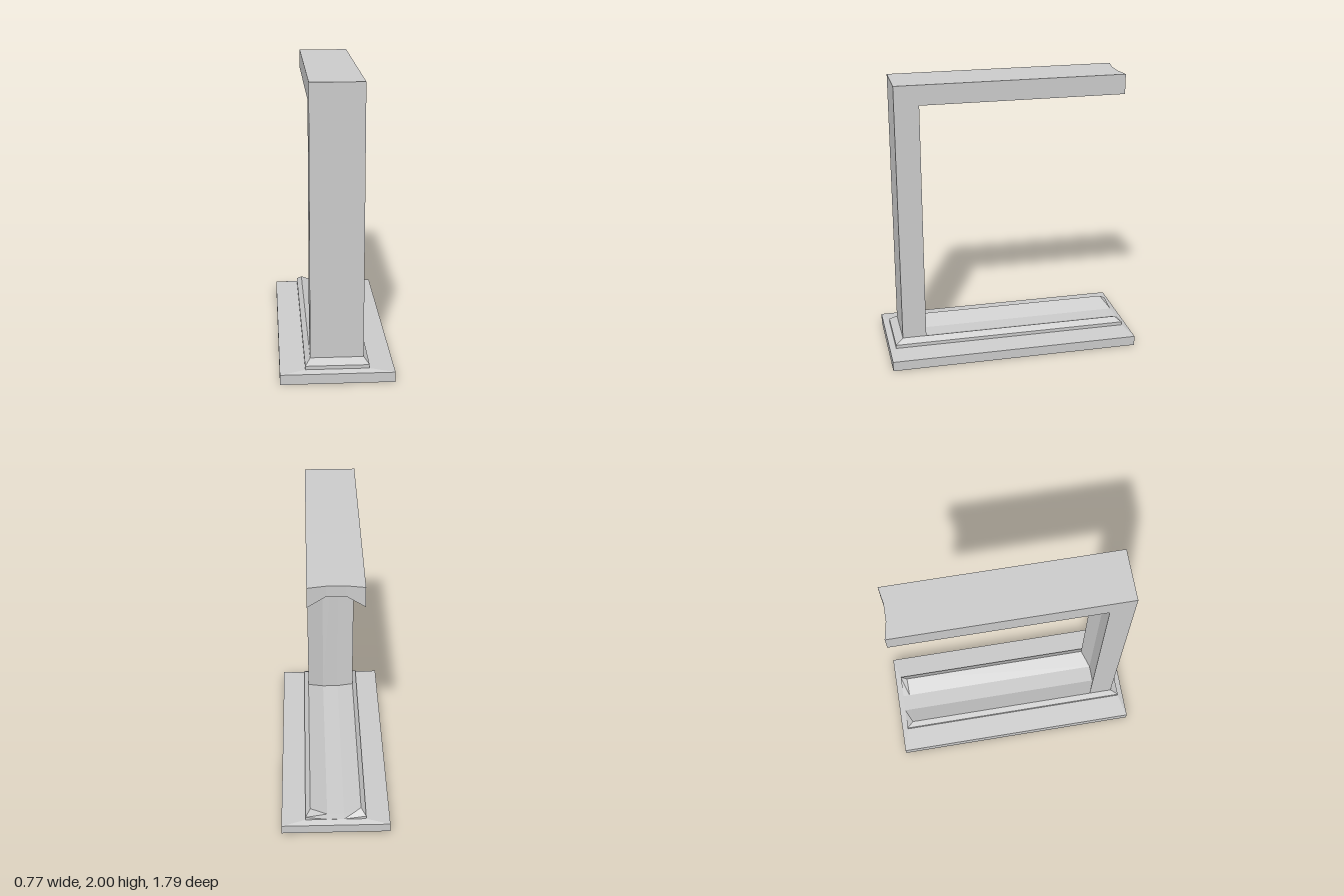
import * as THREE from 'three';

const material = new THREE.MeshStandardMaterial({ color: 0xcccccc, flatShading: true });

// Joins cross-sections into a closed solid. Each section is { a, b }: two facing
// rows of points, both running from -x to +x.
function loft(name, sections) {
  const pos = [];
  const quad = (p, q, r, s) => pos.push(...p, ...q, ...r, ...p, ...r, ...s);
  const rings = sections.map(({ a, b }) => [...a, ...[...b].reverse()]);
  for (let k = 0; k + 1 < rings.length; k++) {
    const r = rings[k], t = rings[k + 1];
    for (let i = 0; i < r.length; i++) {
      const j = (i + 1) % r.length;
      quad(r[i], r[j], t[j], t[i]);
    }
  }
  // end caps
  const first = sections[0], last = sections[sections.length - 1];
  for (let i = 0; i + 1 < first.a.length; i++) {
    quad(first.a[i + 1], first.a[i], first.b[i], first.b[i + 1]);
    quad(last.a[i], last.a[i + 1], last.b[i + 1], last.b[i]);
  }
  const geo = new THREE.BufferGeometry();
  geo.setAttribute('position', new THREE.Float32BufferAttribute(pos, 3));
  geo.computeVertexNormals();
  const mesh = new THREE.Mesh(geo, material);
  mesh.name = name;
  return mesh;
}

// Row of four points across the frame: edges at +-0.18, middle pair at +-0.06
function row(edge, mid = edge) {
  return [[-0.18, ...edge], [-0.06, ...mid], [0.06, ...mid], [0.18, ...edge]];
}

export function createModel() {
  const group = new THREE.Group();

  // Ground slab with a gently sloping top
  const rect = (x, y, z) => ({ a: [[-x, y, z], [x, y, z]], b: [[-x, y, -z], [x, y, -z]] });
  group.add(loft('baseSlab', [
    rect(0.385, 0, 0.893), rect(0.385, 0.07, 0.893), rect(0.215, 0.085, 0.85),
  ]));

  // Chamfered plinth with a shallow channel that runs out at the back
  const plinthSection = (z, edgeX, edgeY, midY) => {
    const xs = [-0.215, -edgeX, -0.06, 0.06, edgeX, 0.215];
    const ys = [0.11, edgeY, midY, midY, edgeY, 0.11];
    return { a: xs.map((x, i) => [x, ys[i], z]), b: xs.map((x) => [x, 0.06, z]) };
  };
  group.add(loft('plinth', [
    plinthSection(0.85, 0.215, 0.11, 0.11),
    plinthSection(0.795, 0.18, 0.145, 0.145),
    plinthSection(0.74, 0.18, 0.145, 0.088),
    plinthSection(-0.80, 0.18, 0.145, 0.088),
    plinthSection(-0.85, 0.215, 0.11, 0.086),
  ]));

  // Upright and overhanging arm, mitred at the corner, hollowed on the inside
  group.add(loft('uprightAndArm', [
    { a: row([0.08, 0.795]), b: row([0.08, 0.625], [0.08, 0.675]) },
    { a: row([2, 0.795]), b: row([1.86, 0.625], [1.925, 0.675]) },
    { a: row([2, -0.81], [2, -0.788]), b: row([1.86, -0.81], [1.925, -0.788]) },
  ]));

  return group;
}
